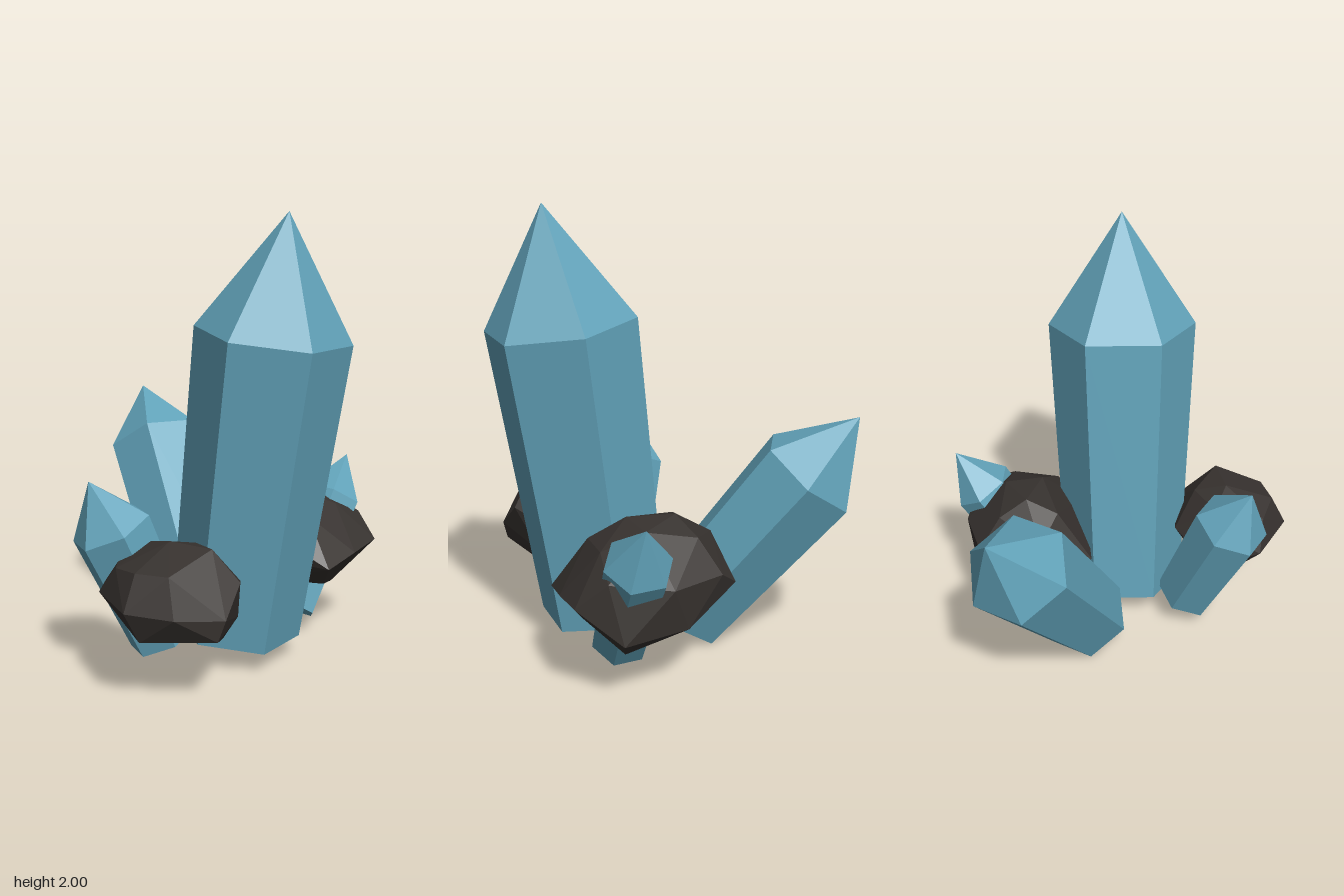
import * as THREE from 'three';
import { ConvexGeometry } from 'three/addons/geometries/ConvexGeometry.js';

const crystalMaterial = new THREE.MeshStandardMaterial({ color: 0x62a3ba, flatShading: true });
const rockMaterial = new THREE.MeshStandardMaterial({ color: 0x37322f, flatShading: true });

// Six-sided pointed prism from base centre to apex; corner is the direction of one edge.
function crystal(name, { base, apex, corner, cap, baseRadius, radius }) {
  const start = new THREE.Vector3(...base);
  const axis = new THREE.Vector3(...apex).sub(start);
  const length = axis.length();
  axis.normalize();
  const profile = [[0, 0], [baseRadius, 0], [radius, length - cap], [0, length]]
    .map(([r, y]) => new THREE.Vector2(r, y));
  const geometry = new THREE.LatheGeometry(profile, 6);

  const side = new THREE.Vector3(...corner).projectOnPlane(axis).normalize();
  const across = new THREE.Vector3().crossVectors(axis, side);
  const placement = new THREE.Matrix4().makeBasis(across, axis, side).setPosition(start);
  const mesh = new THREE.Mesh(geometry.applyMatrix4(placement), crystalMaterial);
  mesh.name = name;
  return mesh;
}

// Faceted boulder wrapped around a few corner points.
function rock(name, corners) {
  const mesh = new THREE.Mesh(
    new ConvexGeometry(corners.map((p) => new THREE.Vector3(...p))), rockMaterial);
  mesh.name = name;
  return mesh;
}

export function createModel() {
  const model = new THREE.Group();
  model.name = 'crystalCluster';

  model.add(
    crystal('mainCrystal', {
      base: [0.265, 0.12, 0], apex: [0.52, 2, 0], corner: [0, 0, 1],
      cap: 0.53, baseRadius: 0.295, radius: 0.346,
    }),
    crystal('leaningCrystal', {
      base: [-0.066, 0.112, -0.187], apex: [-0.73, 1.08, -0.58], corner: [-0.205, -0.13, 0.02],
      cap: 0.34, baseRadius: 0.212, radius: 0.249,
    }),
    crystal('frontCrystal', {
      base: [0.09, 0.13, 0.32], apex: [-0.1, 0.865, 0.59], corner: [-0.14, -0.055, 0.07],
      cap: 0.235, baseRadius: 0.155, radius: 0.182,
    }),
    crystal('backCrystal', {
      base: [0.325, 0.117, -0.385], apex: [0.375, 0.8, -0.83], corner: [1, 0, 0],
      cap: 0.23, baseRadius: 0.13, radius: 0.15,
    }),
  );

  model.add(rock('frontRock', [
    // waist
    [0.28, 0.42, 0.825], [0.46, 0.4, 0.73], [0.595, 0.38, 0.56], [0.57, 0.5, 0.42],
    [0.47, 0.45, 0.27], [0.2, 0.45, 0.26], [0.08, 0.42, 0.34], [-0.01, 0.39, 0.5],
    [0, 0.54, 0.5], [0.02, 0.42, 0.67],
    // top
    [0.13, 0.61, 0.45], [0.28, 0.65, 0.515], [0.47, 0.64, 0.48], [0.13, 0.55, 0.69],
    [0.42, 0.57, 0.71], [0.28, 0.57, 0.75], [0.3, 0.61, 0.36],
    // underside
    [0.27, 0.2, 0.43], [0.45, 0.215, 0.37], [0.08, 0.28, 0.55], [0.3, 0.28, 0.75],
    [0.57, 0.29, 0.58], [0.12, 0.27, 0.4], [0.48, 0.3, 0.3],
  ]));

  model.add(rock('backRock', [
    // waist
    [-0.14, 0.42, -0.33], [-0.12, 0.42, -0.62], [-0.02, 0.5, -0.7], [0.23, 0.5, -0.78],
    [0, 0.42, -0.16], [0.13, 0.45, -0.18], [0.5, 0.55, -0.73], [0.625, 0.44, -0.67],
    [0.625, 0.42, -0.47], [0.6, 0.38, -0.27], [0.4, 0.5, -0.2],
    // top
    [-0.1, 0.58, -0.4], [0.05, 0.66, -0.32], [0.1, 0.71, -0.47], [0.3, 0.7, -0.4],
    [0.28, 0.69, -0.58], [0.05, 0.64, -0.6], [0.45, 0.6, -0.33], [0.47, 0.62, -0.55],
    // underside
    [0.45, 0.29, -0.78], [0.15, 0.3, -0.74], [0.4, 0.19, -0.65], [0.2, 0.19, -0.58],
    [0.5, 0.26, -0.4], [0.2, 0.25, -0.32], [-0.05, 0.3, -0.3], [-0.05, 0.3, -0.55],
    [0.02, 0.36, -0.2],
  ]));

  return model;
}
